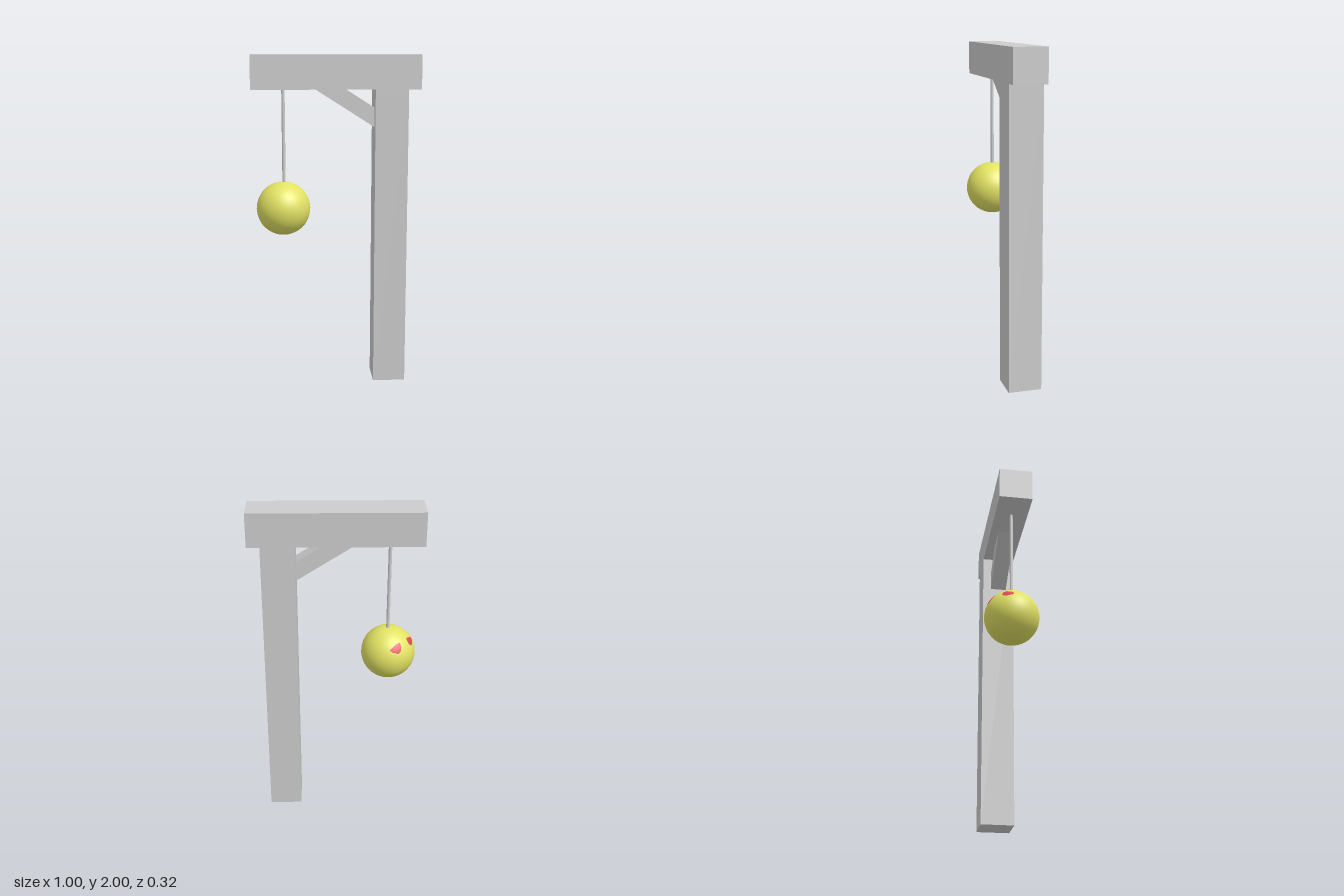
import * as THREE from 'three';

const mat = (name, color) => {
  const m = new THREE.MeshStandardMaterial({ color });
  m.name = name;
  return m;
};

export function createModel() {
  const group = new THREE.Group();
  const grey = mat('grey', 0xcccccc);
  const yellow = mat('yellow', 0xe2e264);
  const red = mat('red', 0xe04854);

  const add = (name, geometry, material, x = 0, y = 0, z = 0) => {
    const mesh = new THREE.Mesh(geometry, material);
    mesh.name = name;
    mesh.position.set(x, y, z);
    group.add(mesh);
    return mesh;
  };

  // Frame: upright post and crossbeam
  add('post', new THREE.BoxGeometry(0.196, 1.8, 0.2), grey, 0.327, 0.9, 0);
  add('beam', new THREE.BoxGeometry(1, 0.2, 0.2), grey, 0, 1.9, 0);

  // Diagonal brace, narrower than the post
  const outline = new THREE.Shape([
    [-0.125, 1.801], [0.23, 1.575], [0.23, 1.69], [0.055, 1.801],
  ].map(([x, y]) => new THREE.Vector2(x, y)));
  add('brace', new THREE.ExtrudeGeometry(outline, { depth: 0.1, bevelEnabled: false }), grey, 0, 0, -0.05);

  // Hanging rod and ball
  const radius = 0.162;
  const centre = new THREE.Vector3(-0.315, 1.085, 0);
  add('rod', new THREE.CylinderGeometry(0.01, 0.01, 0.58, 16), grey, -0.31, 1.51, 0);
  add('ball', new THREE.SphereGeometry(radius, 32, 24), yellow, ...centre.toArray());

  // Red spots: irregular outlines laid on the ball, in axes looking at its back corner
  const across = new THREE.Vector3(-0.82, 0, 0.572);
  const upward = new THREE.Vector3(0.242, 0.906, 0.347);
  const outward = new THREE.Vector3(-0.517, 0.423, -0.743);
  const onBall = (u, v) => new THREE.Vector3()
    .addScaledVector(across, u)
    .addScaledVector(upward, v)
    .addScaledVector(outward, Math.sqrt(1 - u * u - v * v))
    .normalize();

  const spot = (name, cu, cv, points) => {
    const rings = 4, n = points.length;
    const positions = [], normals = [], index = [];
    const put = (u, v) => {
      const p = onBall(u, v);
      normals.push(...p.toArray());
      positions.push(...p.multiplyScalar(radius + 0.0012).toArray());
    };
    put(cu, cv);
    for (let r = 1; r <= rings; r++) {
      for (const [u, v] of points) put(cu + (u - cu) * r / rings, cv + (v - cv) * r / rings);
    }
    for (let i = 0; i < n; i++) {
      const j = (i + 1) % n;
      index.push(0, 1 + i, 1 + j);
      for (let r = 0; r < rings - 1; r++) {
        const a = 1 + r * n + i, b = 1 + r * n + j;
        index.push(a, a + n, b + n, a, b + n, b);
      }
    }
    const g = new THREE.BufferGeometry();
    g.setAttribute('position', new THREE.Float32BufferAttribute(positions, 3));
    g.setAttribute('normal', new THREE.Float32BufferAttribute(normals, 3));
    g.setIndex(index);
    add(name, g, red, ...centre.toArray());
  };

  // Outlines run counter-clockwise as seen from outside
  spot('innerSpot', -0.27, 0.14, [
    [-0.5, 0.14], [-0.43, 0.04], [-0.25, -0.06], [-0.13, 0.0],
    [-0.07, 0.13], [-0.05, 0.31], [-0.2, 0.3], [-0.34, 0.24],
  ]);
  spot('outerSpot', 0.48, 0.23, [
    [0.3, 0.3], [0.32, 0.15], [0.42, 0.06], [0.54, 0.08],
    [0.66, 0.2], [0.66, 0.28], [0.57, 0.37], [0.48, 0.35], [0.37, 0.39],
  ]);

  return group;
}
